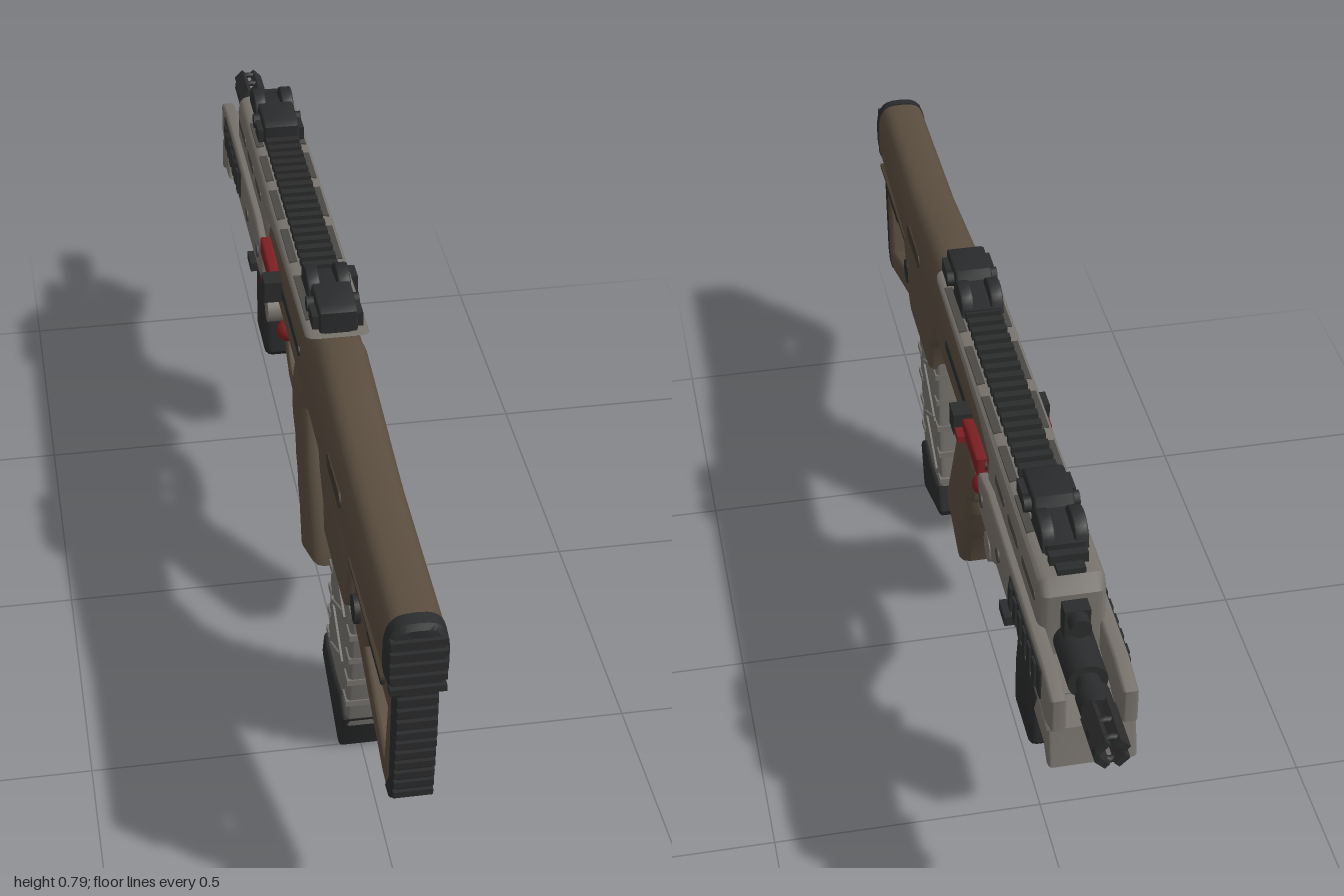
import * as THREE from 'three';
import { toCreasedNormals } from 'three/addons/utils/BufferGeometryUtils.js';

const mat = (name, color) => Object.assign(new THREE.MeshStandardMaterial({ color }), { name });

export function createModel() {
  const root = new THREE.Group();
  root.name = 'compactRifle';
  const brown = mat('earthBrown', 0x5a4d3f), shade = mat('recessBrown', 0x41372d);
  const grey = mat('warmGrey', 0x76716b), vent = mat('ventGrey', 0x4b4844);
  const clear = mat('magazineGrey', 0x74716c), black = mat('polymerBlack', 0x2a2b2c);
  const red = mat('controlRed', 0x7c1f22);

  const add = (name, geo, m, parent = root) => {
    const mesh = new THREE.Mesh(geo, m);
    mesh.name = name;
    parent.add(mesh);
    return mesh;
  };
  const box = (name, m, x0, x1, y0, y1, z0, z1, parent) => {
    const g = new THREE.BoxGeometry(Math.abs(x1 - x0), Math.abs(y1 - y0), Math.abs(z1 - z0));
    return add(name, g.translate((x0 + x1) / 2, (y0 + y1) / 2, (z0 + z1) / 2), m, parent);
  };
  const both = fn => [-1, 1].forEach(fn);
  const vecs = pts => pts.map(([a, b]) => new THREE.Vector2(a, b));

  // Side outline given as [z, y], extruded across x between x0 and x1
  const side = (name, m, pts, x0, x1, bevel = 0.006, holes = [], parent = root) => {
    const s = new THREE.Shape(vecs(pts));
    holes.forEach(h => s.holes.push(new THREE.Path(vecs(h))));
    const g = new THREE.ExtrudeGeometry(s, {
      depth: x1 - x0 - 2 * bevel, bevelEnabled: bevel > 0, bevelSize: bevel,
      bevelThickness: bevel, bevelOffset: -bevel, bevelSegments: 3,
    });
    g.translate(0, 0, -(x1 - x0 - 2 * bevel) / 2).rotateY(-Math.PI / 2).translate((x0 + x1) / 2, 0, 0);
    return add(name, toCreasedNormals(g, 0.6), m, parent);
  };
  const capsule = (z0, z1, y, r) => {
    const pts = [];
    for (let i = 0; i <= 12; i++) {
      const t = -Math.PI / 2 + (i % 13) / 6 * Math.PI * 0.5 * 2;
      const end = i <= 6;
      pts.push([(end ? z1 - r : z0 + r) + Math.cos(t) * r, y + Math.sin(t) * r]);
    }
    return pts;
  };
  // Cylinders along x or z
  const rodX = (name, m, r, x0, x1, y, z, seg = 20, parent = root) =>
    add(name, new THREE.CylinderGeometry(r, r, x1 - x0, seg).rotateZ(Math.PI / 2).translate((x0 + x1) / 2, y, z), m, parent);
  const rodZ = (name, m, r, z0, z1, y, open = false) =>
    add(name, new THREE.CylinderGeometry(r, r, Math.abs(z1 - z0), 20, 1, open).rotateX(Math.PI / 2).translate(0, y, (z0 + z1) / 2), m);

  // Rounded loft along z; stations are [z, top, bottom, half width]
  const loft = (name, m, stations, e = 0.6, n = 32) => {
    const pos = [], idx = [];
    const pw = v => Math.sign(v) * Math.abs(v) ** e;
    stations.forEach(([z, t, b, w]) => {
      for (let i = 0; i < n; i++) {
        const a = i / n * Math.PI * 2;
        pos.push(pw(Math.cos(a)) * w, (t + b) / 2 + pw(Math.sin(a)) * (t - b) / 2, z);
      }
    });
    const last = (stations.length - 1) * n;
    for (let s = 0; s < last; s += n) for (let i = 0; i < n; i++) {
      const a = s + i, b = s + (i + 1) % n;
      idx.push(a, a + n, b, b, a + n, b + n);
    }
    for (let i = 1; i < n - 1; i++) idx.push(0, i, i + 1, last, last + i + 1, last + i);
    const g = new THREE.BufferGeometry();
    g.setAttribute('position', new THREE.Float32BufferAttribute(pos, 3));
    g.setIndex(idx);
    return add(name, toCreasedNormals(g, 0.6), m);
  };

  // Stock and receiver
  loft('receiver', brown, [[0.965, 0.685, 0.535, 0.05], [0.6, 0.688, 0.515, 0.052], [0.42, 0.708, 0.505, 0.054],
    [0.24, 0.728, 0.51, 0.055], [0.2, 0.715, 0.515, 0.055], [-0.28, 0.7, 0.515, 0.055]]);
  side('stockFrame', brown, [[0.965, 0.57], [0.955, 0.33], [0.935, 0.3], [0.905, 0.3], [0.6, 0.4], [0.56, 0.41], [0.56, 0.57]],
    -0.036, 0.036, 0.008, [[[0.93, 0.47], [0.745, 0.47], [0.715, 0.415], [0.91, 0.345]]]);
  side('magazineWell', brown, [[0.64, 0.56], [0.61, 0.42], [0.585, 0.4], [0.37, 0.4], [0.36, 0.46], [0.32, 0.505], [0.3, 0.56]], -0.05, 0.05, 0.012);
  // Butt pad with ridges
  loft('buttPadUpper', black, [[0.992, 0.675, 0.545, 0.044], [0.985, 0.685, 0.54, 0.051], [0.962, 0.688, 0.535, 0.052]], 0.65);
  side('buttPadLower', black, [[0.992, 0.56], [0.992, 0.47], [0.975, 0.32], [0.955, 0.293], [0.92, 0.293], [0.93, 0.315], [0.95, 0.34], [0.958, 0.56]], -0.036, 0.036, 0.007);
  for (let i = 0; i < 15; i++) {
    const y = 0.325 + i * 0.0235, z = y > 0.47 ? 0.992 : 0.992 - (0.47 - y) * 0.113;
    const w = y > 0.55 ? 0.046 : 0.033;
    box('buttRidge', black, -w, w, y - 0.006, y + 0.006, z - 0.012, z + 0.008);
  }
  both(s => {
    const at = (a, b) => s > 0 ? [a, b] : [-b, -a];
    side('stockLatch', black, [[0.91, 0.5], [0.91, 0.53], [0.88, 0.545], [0.79, 0.545], [0.78, 0.5]], ...at(0.03, 0.044), 0.003);
    rodX('stockPin', black, 0.026, ...at(0.03, 0.046), 0.455, 0.66);
    side('stockRecess', shade, capsule(0.435, 0.575, 0.615, 0.016), ...at(0.05, 0.0555), 0);
    box('stockSeam', shade, ...at(0.035, 0.0515), 0.545, 0.551, 0.64, 0.95);
    // Charging handle
    side('handleSlot', black, capsule(-0.27, 0.13, 0.63, 0.011), ...at(0.05, 0.0575), 0);
    side('chargingHandle', red, [[-0.11, 0.612], [-0.11, 0.636], [-0.17, 0.646], [-0.265, 0.646], [-0.265, 0.612]], ...at(0.05, 0.074), 0.004);
    box('handleArm', red, ...at(0.06, 0.088), 0.608, 0.622, -0.16, -0.12);
    box('handleKnob', black, ...at(0.055, 0.09), 0.606, 0.649, -0.13, -0.088);
    // Selector
    add('selector', new THREE.SphereGeometry(0.022, 16, 12).translate(s * 0.038, 0.5, -0.15), red);
  });

  // Pistol grip, trigger guard and trigger
  side('pistolGrip', brown, [[0.1, 0.53], [0.085, 0.47], [0.13, 0.38], [0.21, 0.225], [0.214, 0.195], [0.075, 0.128], [0.06, 0.14],
    [0.035, 0.225], [0.015, 0.25], [0.01, 0.285], [-0.012, 0.315], [-0.015, 0.35], [-0.05, 0.38], [-0.055, 0.46], [-0.02, 0.53]],
    -0.046, 0.046, 0.022);
  side('triggerGuard', brown, [[0, 0.53], [-0.02, 0.37], [-0.08, 0.35], [-0.14, 0.337], [-0.215, 0.345], [-0.26, 0.375], [-0.3, 0.46], [-0.3, 0.53]],
    -0.026, 0.026, 0.006, [[[-0.06, 0.465], [-0.25, 0.465], [-0.265, 0.44], [-0.235, 0.39], [-0.205, 0.37], [-0.14, 0.362], [-0.065, 0.385]],
      capsule(-0.23, -0.07, 0.5, 0.014)]);
  side('trigger', black, [[-0.1, 0.49], [-0.135, 0.49], [-0.142, 0.44], [-0.132, 0.4], [-0.108, 0.375], [-0.1, 0.385], [-0.118, 0.41], [-0.122, 0.44]], -0.012, 0.012, 0.002);
  rodX('selectorShaft', black, 0.01, -0.03, 0.03, 0.5, -0.15);

  // Magazine with raised lattice
  side('magazine', clear, [[0.585, 0.43], [0.57, 0.26], [0.53, 0.07], [0.325, 0.1], [0.352, 0.26], [0.37, 0.43]], -0.034, 0.034, 0.008);
  side('magazineBase', black, [[0.535, 0.09], [0.505, 0.002], [0.49, 0], [0.312, 0.062], [0.308, 0.075], [0.328, 0.127], [0.35, 0.112], [0.44, 0.108], [0.5, 0.12], [0.53, 0.1]], -0.042, 0.042, 0.007);
  for (const y of [0.14, 0.2, 0.26, 0.32, 0.38]) {
    const lean = 0.000 + (0.41 - y) ** 1.5 * 0.28;
    box('magazineRib', clear, -0.037, 0.037, y - 0.006, y + 0.006, 0.553 - lean, 0.588 - lean);
    box('magazineRib', clear, -0.037, 0.037, y - 0.006, y + 0.006, 0.366 - lean, 0.39 - lean);
    if (y < 0.35) both(s => {
      const bar = box('magazineLattice', clear, -0.004, 0.004, -0.004, 0.004, -0.065, 0.065);
      bar.position.set(s * 0.034, y + 0.03, 0.47 - lean);
      bar.rotation.x = (Math.round(y / 0.06) % 2 ? 1 : -1) * 0.5;
    });
  }

  // Upper cover and handguard
  side('upperCover', grey, [[0.235, 0.727], [0.2, 0.703], [0, 0.694], [-0.2, 0.682], [-0.29, 0.66], [-0.25, 0.56], [-0.28, 0.51],
    [-0.72, 0.55], [-0.72, 0.7], [-0.7, 0.727]], -0.058, 0.058, 0.018);
  side('lowerHandguard', grey, [[-0.25, 0.56], [-0.28, 0.47], [-0.33, 0.455], [-0.4, 0.5], [-0.8, 0.5], [-0.8, 0.56], [-0.6, 0.6], [-0.3, 0.6]], -0.058, 0.058, 0.01);
  side('handguardNose', grey, [[-0.79, 0.56], [-0.83, 0.55], [-0.865, 0.545], [-0.88, 0.475], [-0.865, 0.47], [-0.84, 0.495], [-0.76, 0.5]], -0.075, 0.075, 0.007);
  both(s => {
    const at = (a, b) => s > 0 ? [a, b] : [-b, -a];
    side('handguardSide', grey, [[-0.27, 0.62], [-0.28, 0.545], [-0.82, 0.535], [-0.88, 0.555], [-0.88, 0.62], [-0.81, 0.635], [-0.35, 0.638]], ...at(0.046, 0.073), 0.006);
    box('sidePanel', black, ...at(0.07, 0.076), 0.565, 0.625, -0.81, -0.565);
    for (let i = 0; i < 6; i++) box('panelRib', black, ...at(0.072, 0.08), 0.57, 0.62, -0.595 - i * 0.038, -0.574 - i * 0.038);
    [[-0.44, -0.36], [-0.555, -0.47], [-0.69, -0.585]].forEach(([a, b]) =>
      side('coverVent', vent, capsule(a, b, 0.678, 0.01), ...at(0.052, 0.0595), 0));
    [[0.02, 0.17], [-0.15, -0.03], [-0.3, -0.19], [-0.44, -0.34], [-0.58, -0.48]].forEach(([a, b]) =>
      box('coverNotch', vent, ...at(0.035, 0.05), 0.718, 0.729, a, b));
    rodX('pivotLug', grey, 0.028, ...at(0.02, 0.06), 0.465, -0.29);
    [[-0.31, 0.59], [-0.46, 0.585]].forEach(([z, y]) => rodX('handguardBolt', vent, 0.014, ...at(0.066, 0.076), y, z));
  });

  // Top rail and lower rail teeth
  box('topRail', black, -0.024, 0.024, 0.715, 0.738, -0.7, 0.22);
  for (let i = 0; i < 30; i++) box('railTooth', black, -0.033, 0.033, 0.733, 0.752, 0.19 - i * 0.03, 0.206 - i * 0.03);
  box('lowerRail', black, -0.025, 0.025, 0.488, 0.505, -0.84, -0.4);
  for (let i = 0; i < 14; i++) box('lowerRailTooth', black, -0.032, 0.032, 0.478, 0.492, -0.438 - i * 0.03, -0.42 - i * 0.03);

  // Folding sights
  [0, -0.7].forEach(dz => {
    const sight = new THREE.Group();
    sight.name = dz ? 'frontSight' : 'rearSight';
    sight.position.z = dz;
    root.add(sight);
    side('sightBase', black, [[0.23, 0.735], [0.23, 0.775], [0.215, 0.783], [0.14, 0.783], [0.13, 0.765], [0.045, 0.755], [0.045, 0.735]], -0.035, 0.035, 0.004, [], sight);
    const dome = [[0.045, 0.74]];
    for (let i = 0; i <= 8; i++) dome.push([0.09 - Math.cos(i / 8 * Math.PI) * 0.042, 0.75 + Math.sin(i / 8 * Math.PI) * 0.036]);
    dome.push([0.135, 0.74]);
    both(s => side('sightEar', black, dome, s > 0 ? 0.016 : -0.04, s > 0 ? 0.04 : -0.016, 0.003, [], sight));
    rodX('sightScrew', black, 0.014, -0.048, 0.048, 0.755, 0.16, 12, sight);
    box('sightClamp', black, -0.046, 0.046, 0.738, 0.765, 0.175, 0.22, sight);
  });

  // Foregrip
  box('foregripMount', black, -0.07, 0.07, 0.455, 0.474, -0.5, -0.45);
  side('foregripClamp', black, [[-0.415, 0.5], [-0.42, 0.475], [-0.45, 0.45], [-0.59, 0.45], [-0.61, 0.5]], -0.042, 0.042, 0.006);
  side('foregrip', black, [[-0.46, 0.48], [-0.468, 0.41], [-0.452, 0.34], [-0.452, 0.25], [-0.465, 0.235], [-0.578, 0.235], [-0.59, 0.25],
    [-0.59, 0.37], [-0.578, 0.42], [-0.585, 0.48]], -0.042, 0.042, 0.016);

  // Barrel, gas block and slotted muzzle
  rodZ('barrel', black, 0.021, -0.7, -0.9, 0.607);
  rodZ('barrelCollar', black, 0.034, -0.7, -0.83, 0.607);
  box('gasBlock', black, -0.022, 0.022, 0.62, 0.69, -0.75, -0.7);
  rodZ('gasPlug', black, 0.018, -0.72, -0.775, 0.672);
  rodZ('muzzleBase', black, 0.029, -0.86, -0.905, 0.607);
  for (let i = 0; i < 4; i++) {
    const prong = box('muzzleProng', black, 0.017, 0.029, -0.012, 0.012, -1, -0.9);
    prong.position.y = 0.607;
    prong.rotation.z = Math.PI / 4 + i * Math.PI / 2;
  }
  [-0.945, -0.985].forEach(z => add('muzzleRing', new THREE.TorusGeometry(0.024, 0.006, 8, 20).translate(0, 0.607, z), black));

  return root;
}
